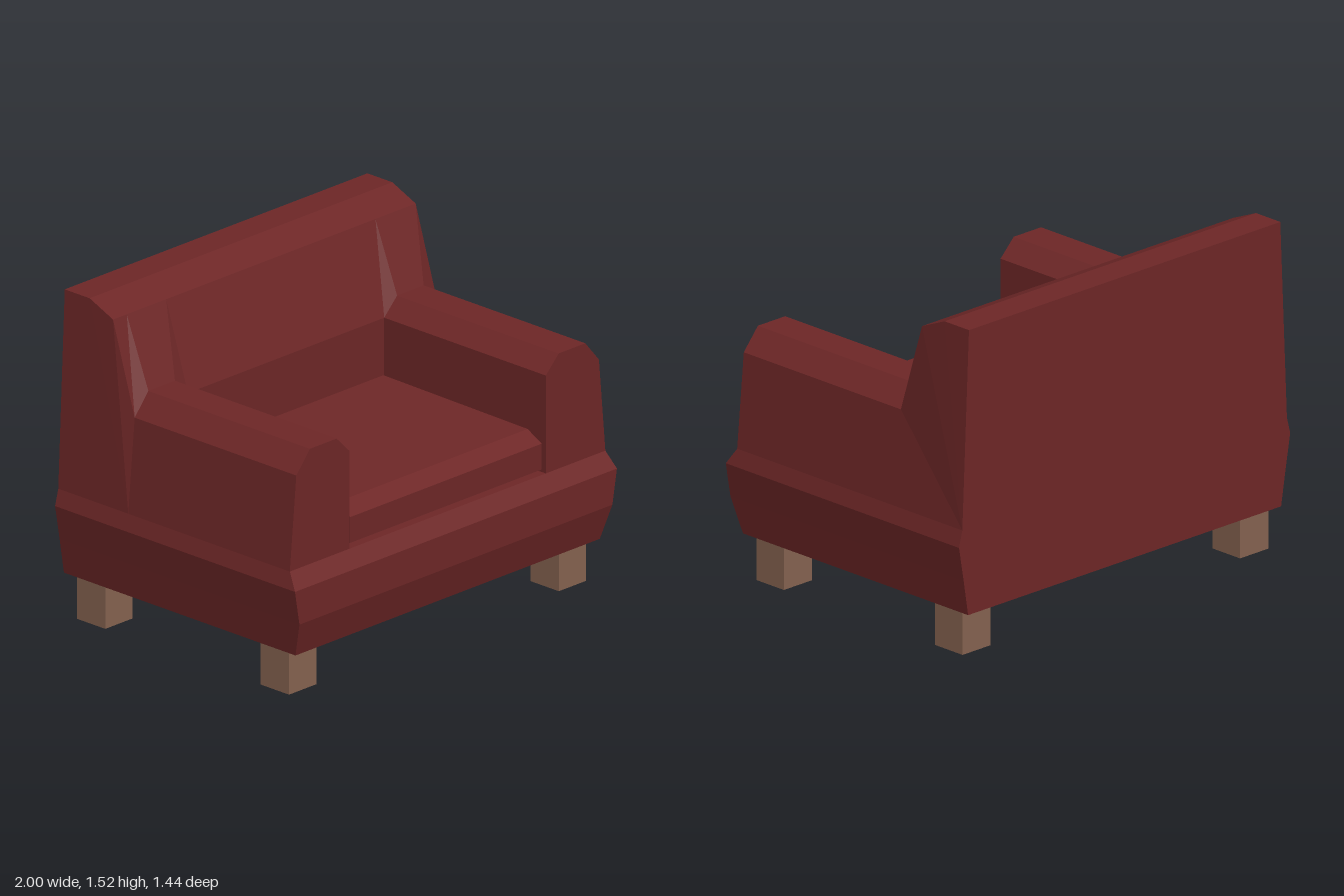
import * as THREE from 'three';

// Flat-faced geometry from a list of polygons (fans of [x, y, z] corners)
function facets(polys) {
  const pos = [];
  for (const p of polys)
    for (let i = 1; i < p.length - 1; i++) pos.push(...p[0], ...p[i], ...p[i + 1]);
  const g = new THREE.BufferGeometry();
  g.setAttribute('position', new THREE.Float32BufferAttribute(pos, 3));
  g.computeVertexNormals();
  return g;
}

// Quads between successive rows of points
function loft(rows, closed) {
  const polys = [];
  for (let i = 0; i < rows.length - 1; i++) {
    const a = rows[i], b = rows[i + 1], n = a.length;
    for (let j = 0; j < (closed ? n : n - 1); j++) {
      const k = (j + 1) % n;
      polys.push([a[j], a[k], b[k], b[j]]);
    }
  }
  return polys;
}

export function createModel() {
  const group = new THREE.Group();
  const fabric = new THREE.MeshStandardMaterial({ color: 0x6e2727 });
  fabric.name = 'red fabric';
  const wood = new THREE.MeshStandardMaterial({ color: 0x856350 });
  wood.name = 'brown wood';
  fabric.flatShading = wood.flatShading = true;

  const add = (name, geo, mat) => {
    const m = new THREE.Mesh(geo, mat);
    m.name = name;
    group.add(m);
    return m;
  };

  const BACK = -0.72, ARM_BACK = -0.3, FRONT = 0.67, SEAT = 0.605;

  // Base: bulging rings of [height, half width, front z]
  const rings = [[0.205, 0.945, FRONT], [0.37, 0.972, 0.72], [0.53, 1, 0.72], [SEAT, 0.98, FRONT]]
    .map(([y, x, z]) => [[-x, y, z], [x, y, z], [x, y, BACK], [-x, y, BACK]]);
  add('base', facets([...loft(rings, true), rings[3], [...rings[0]].reverse()]), fabric);

  // Backrest: its lower front edge follows the outline of the arm tops
  const outline = [[0.94, 1.04], [0.855, 1.14], [0.69, 1.14], [0.61, 1.06]];
  const edge = [...outline.map(([x, y]) => [-x, y]), ...[...outline].reverse()];
  const row = (y, z, outer) => edge.map(([x]) =>
    [Math.abs(x) === 0.94 ? Math.sign(x) * outer : x, y, z]);
  const rows = [
    row(SEAT, ARM_BACK, 0.98),
    edge.map(([x, y]) => [x, y, ARM_BACK]),
    row(1.46, -0.43, 0.94),
    row(1.52, -0.57, 0.94),
    row(1.52, BACK, 0.94),
    row(SEAT, BACK, 0.98),
  ];
  const leftCap = rows.map((r) => r[r.length - 1]).reverse();
  const rightCap = rows.map((r) => r[0]);
  add('backrest', facets([...loft(rows, false), leftCap, rightCap]), fabric);

  // Arms: chamfered profile run from the backrest to the front
  for (const s of [1, -1]) {
    const profile = [[0.98, SEAT], ...outline, [0.61, SEAT]];
    const shape = new THREE.Shape(profile.map(([x, y]) => new THREE.Vector2(s * x, y)));
    const geo = new THREE.ExtrudeGeometry(shape, { depth: FRONT - ARM_BACK, bevelEnabled: false });
    geo.translate(0, 0, ARM_BACK);
    add(s > 0 ? 'leftArm' : 'rightArm', geo, fabric);
  }

  // Seat cushion: side profile [z, y] with a sloped front edge
  const side = [[0.66, 0.625], [0.66, 0.745], [0.575, 0.79], [-0.29, 0.8], [-0.29, 0.625]];
  const cushion = new THREE.ExtrudeGeometry(
    new THREE.Shape(side.map(([z, y]) => new THREE.Vector2(-z, y))),
    { depth: 1.19, bevelEnabled: false });
  cushion.translate(0, 0, -0.595).rotateY(Math.PI / 2);
  add('seatCushion', cushion, fabric);

  // Legs
  for (const x of [-0.838, 0.838])
    for (const z of [0.525, -0.578])
      add((z > 0 ? 'front' : 'back') + (x > 0 ? 'Left' : 'Right') + 'Leg',
        new THREE.BoxGeometry(0.17, 0.21, 0.17), wood).position.set(x, 0.105, z);

  return group;
}
